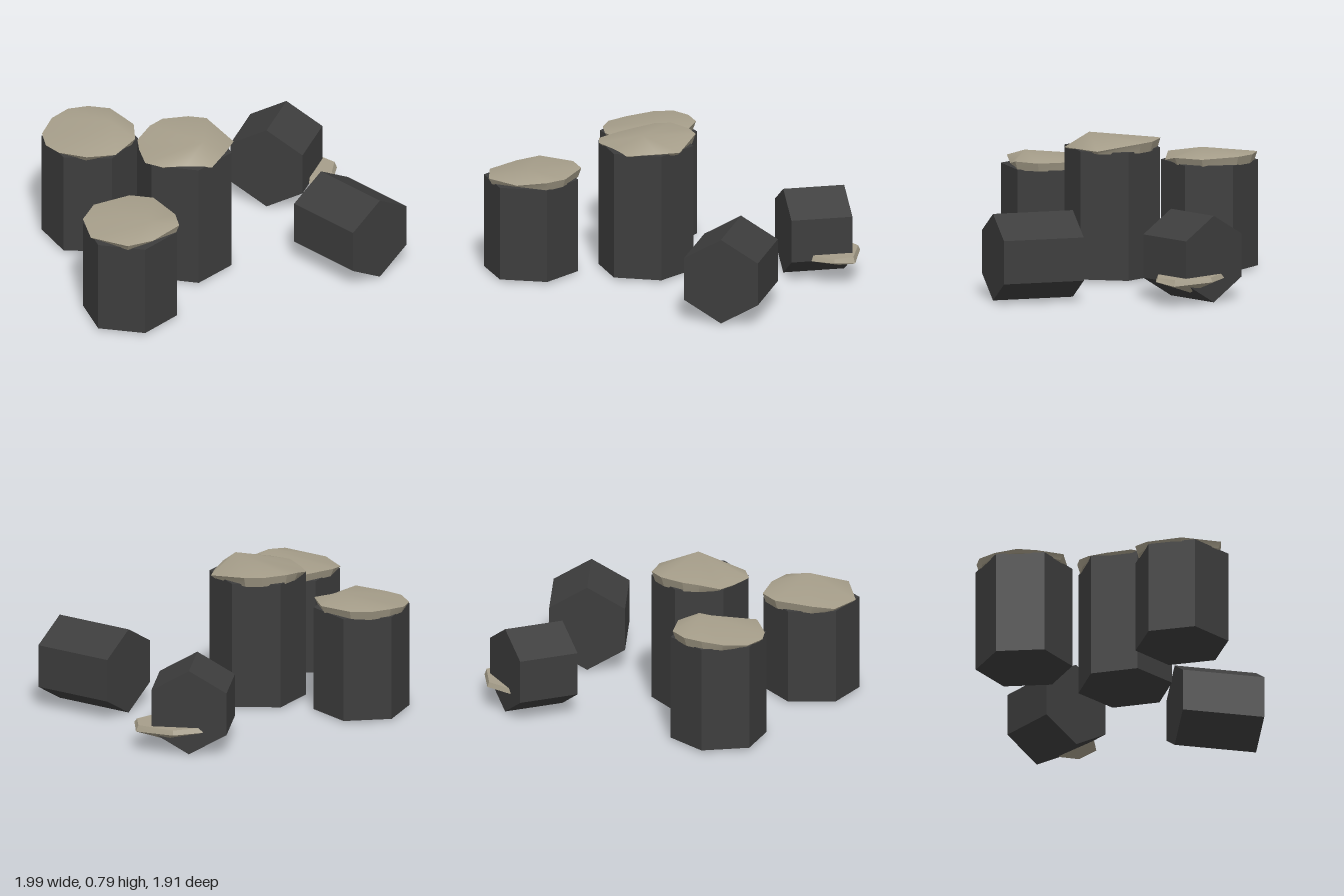
import * as THREE from 'three';

const basalt = new THREE.MeshStandardMaterial({ color: 0x3d3d3d, flatShading: true });
basalt.name = 'dark basalt';
const sand = new THREE.MeshStandardMaterial({ color: 0xa69e8a, side: THREE.DoubleSide });
sand.name = 'pale sandstone';

const rad = THREE.MathUtils.degToRad;

// Upright six-sided column standing near the ground
function standingColumn(name, x, z, radius, top, turn) {
  const geo = new THREE.CylinderGeometry(radius, radius, top - 0.015, 6);
  const mesh = new THREE.Mesh(geo, basalt);
  mesh.name = name;
  mesh.position.set(x, (top + 0.015) / 2, z);
  mesh.rotation.y = rad(turn);
  return mesh;
}

// Column segment lying on one long edge
function fallenColumn(name, x, z, radius, length, heading) {
  const geo = new THREE.CylinderGeometry(radius, radius, length, 6);
  geo.rotateX(Math.PI / 2);
  const mesh = new THREE.Mesh(geo, basalt);
  mesh.name = name;
  mesh.position.set(x, 0.24, z);
  mesh.rotation.y = rad(heading);
  return mesh;
}

// Irregular slab: a rim of [x, y, z] points, a smooth peak and a narrower flat base.
// The rim runs clockwise from above; a peak below the base turns the slab over.
function capStone(name, rim, peak, baseY) {
  const n = rim.length;
  const flip = peak[1] < baseY;
  const cx = rim.reduce((s, p) => s + p[0], 0) / n;
  const cz = rim.reduce((s, p) => s + p[2], 0) / n;
  const base = rim.map(([x, , z]) => [cx + (x - cx) * 0.93, baseY, cz + (z - cz) * 0.93]);
  const positions = [];
  const index = [];
  const add = (...pts) => {
    const start = positions.length / 3;
    pts.forEach((p) => positions.push(...p));
    return start;
  };
  const tri = (a, b, c) => (flip ? index.push(a, c, b) : index.push(a, b, c));

  // domed face, sharing vertices so that it shades smoothly
  const dome = add(peak, ...rim);
  // flat base
  const flat = add([cx, baseY, cz], ...base);
  for (let i = 0; i < n; i++) {
    const j = (i + 1) % n;
    tri(dome, dome + 1 + j, dome + 1 + i);
    tri(flat, flat + 1 + i, flat + 1 + j);
    // faceted edge
    const s = add(rim[i], rim[j], base[j], base[i]);
    tri(s, s + 1, s + 2);
    tri(s, s + 2, s + 3);
  }
  const geo = new THREE.BufferGeometry();
  geo.setAttribute('position', new THREE.Float32BufferAttribute(positions, 3));
  geo.setIndex(index);
  geo.computeVertexNormals();
  const mesh = new THREE.Mesh(geo, sand);
  mesh.name = name;
  return mesh;
}

export function createModel() {
  const group = new THREE.Group();
  group.name = 'basaltColumns';

  // Three standing columns
  group.add(
    standingColumn('leftColumn', -0.74, -0.11, 0.26, 0.59, 39),
    standingColumn('frontColumn', -0.355, 0.695, 0.257, 0.53, 30),
    standingColumn('tallColumn', -0.18, 0.103, 0.26, 0.71, 29),
  );

  // Two toppled segments
  group.add(
    fallenColumn('fallenSideColumn', 0.695, -0.07, 0.235, 0.447, 56.5),
    fallenColumn('fallenBackColumn', 0.155, -0.733, 0.235, 0.335, -7),
  );

  // Cap on the left column
  group.add(capStone('leftCap', [
    [-0.80, 0.635, -0.36], [-0.68, 0.635, -0.36], [-0.525, 0.625, -0.235], [-0.485, 0.625, -0.08],
    [-0.565, 0.592, 0.055], [-0.705, 0.615, 0.15], [-0.865, 0.60, 0.105], [-0.95, 0.60, 0.04],
    [-0.995, 0.60, -0.08], [-0.97, 0.62, -0.22], [-0.90, 0.635, -0.31],
  ], [-0.63, 0.675, -0.15], 0.585));

  // Cap on the front column
  group.add(capStone('frontCap', [
    [-0.41, 0.575, 0.435], [-0.28, 0.575, 0.435], [-0.13, 0.57, 0.58], [-0.085, 0.575, 0.70],
    [-0.20, 0.54, 0.83], [-0.315, 0.56, 0.95], [-0.535, 0.54, 0.865], [-0.615, 0.545, 0.685],
    [-0.58, 0.57, 0.565],
  ], [-0.23, 0.617, 0.755], 0.525));

  // Cap on the tall column
  group.add(capStone('tallCap', [
    [-0.21, 0.755, -0.155], [-0.11, 0.755, -0.155], [0.07, 0.718, 0], [0.05, 0.715, 0.12],
    [0.01, 0.708, 0.28], [-0.13, 0.71, 0.30], [-0.25, 0.715, 0.345], [-0.35, 0.71, 0.31],
    [-0.41, 0.712, 0.18], [-0.44, 0.715, 0.08], [-0.395, 0.745, -0.03], [-0.34, 0.755, -0.10],
  ], [-0.06, 0.795, 0.165], 0.70));

  // Broken cap, upside down beside the back segment
  group.add(capStone('fallenCap', [
    [0.10, 0.13, -0.91], [0.26, 0.13, -0.96], [0.46, 0.12, -0.86], [0.47, 0.135, -0.74],
    [0.36, 0.125, -0.65], [0.17, 0.12, -0.66], [0.08, 0.12, -0.78],
  ], [0.29, 0.065, -0.83], 0.155));

  return group;
}
